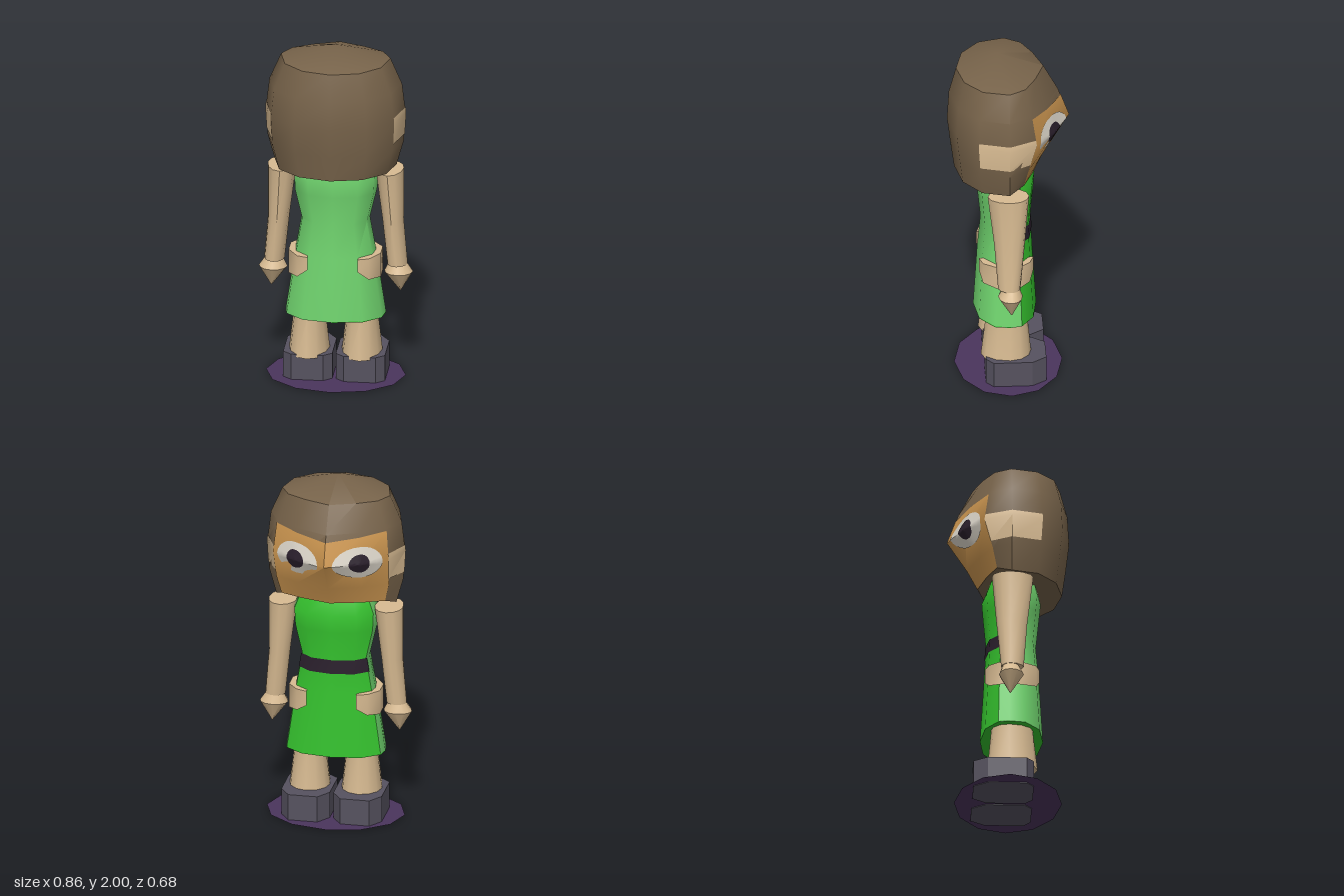
import * as THREE from 'three';
import { toCreasedNormals } from 'three/addons/utils/BufferGeometryUtils.js';

const mat = (name, color, side = THREE.FrontSide) => {
  const m = new THREE.MeshStandardMaterial({ color, side });
  m.name = name;
  return m;
};

// Half cross-sections [x, z] from back centre (+z) round +x to front centre (-z); mirrored for -x.
const HEAD = [[0, 1], [0.52, 0.87], [0.88, 0.53], [1, 0.03], [0.83, -0.42], [0.47, -0.73], [0, -1]];
const BODY = [[0, 1], [0.6, 0.87], [0.95, 0.45], [1, 0], [0.95, -0.4], [0.6, -0.85], [0, -1]];
const SHOE = [[0, 1], [0.65, 1], [1, 0.7], [1, 0], [1, -0.6], [0.6, -1], [0, -1]];
const ROUND = [0, 1, 2, 3, 4, 5, 6].map(i => [Math.sin(i * Math.PI / 6), Math.cos(i * Math.PI / 6)]);
const range = (a, b) => Array.from({ length: b - a + 1 }, (_, i) => a + i);

// Surface through rows [y, halfWidth, backDepth, frontDepth, centreX]; u runs 0..12 round it.
function surface(section, rows, cx = 0, side = 1) {
  const at = i => {
    const k = ((i % 12) + 12) % 12;
    return k <= 6 ? section[k] : [-section[12 - k][0], section[12 - k][1]];
  };
  return (u, y, grow = 1) => {
    const i = Math.floor(u), f = u - i, a = at(i), b = at(i + 1);
    const sx = a[0] + (b[0] - a[0]) * f, sz = a[1] + (b[1] - a[1]) * f;
    let r = 0;
    while (r < rows.length - 2 && y > rows[r + 1][0]) r++;
    const p = rows[r], q = rows[r + 1];
    const t = THREE.MathUtils.clamp((y - p[0]) / (q[0] - p[0]), 0, 1);
    const v = k => (p[k] ?? cx) + ((q[k] ?? cx) - (p[k] ?? cx)) * t;
    return [side * v(4) + sx * v(1) * grow, y, sz * (sz > 0 ? v(2) : v(3)) * grow];
  };
}

// Sheet of quads over columns us; ys(u) lists heights from the bottom up.
function grid(pt, us, ys, caps = [null, null], crease = 0.75) {
  const pos = [], idx = [], n = us.length, m = ys(us[0]).length;
  for (const u of us) for (const y of ys(u)) pos.push(...pt(u, y));
  for (let j = 0; j < n - 1; j++) for (let i = 0; i < m - 1; i++) {
    const a = j * m + i, b = a + m;
    idx.push(a, b, b + 1, a, b + 1, a + 1);
  }
  caps.forEach((c, top) => {
    if (!c) return;
    const k = pos.length / 3;
    pos.push(...c);
    for (let j = 0; j < n - 1; j++) {
      const a = j * m + (top ? m - 1 : 0), b = a + m;
      if (top) idx.push(k, a, b); else idx.push(k, b, a);
    }
  });
  const g = new THREE.BufferGeometry();
  g.setAttribute('position', new THREE.Float32BufferAttribute(pos, 3));
  g.setIndex(idx);
  return toCreasedNormals(g, crease);
}

// Closed solid through rows
function solid(section, rows, cx, side, crease) {
  const ys = rows.map(r => r[0]), last = rows[rows.length - 1];
  const c = r => [side * (r[4] ?? cx), r[0], 0];
  return grid(surface(section, rows, cx, side), range(0, 12), () => ys, [c(rows[0]), c(last)], crease);
}

// Oval plate hugging a surface
function oval(pt, u0, y0, ru, ry, grow) {
  const pos = [], idx = [], N = 24, R = 4;
  for (let r = 0; r <= R; r++) for (let k = 0; k < N; k++) {
    const a = k / N * Math.PI * 2;
    pos.push(...pt(u0 + ru * r / R * Math.cos(a), y0 + ry * r / R * Math.sin(a), grow));
  }
  for (let r = 0; r < R; r++) for (let k = 0; k < N; k++) {
    const a = r * N + k, b = r * N + (k + 1) % N;
    idx.push(a, a + N, b + N);
    if (r) idx.push(a, b + N, b);
  }
  const g = new THREE.BufferGeometry();
  g.setAttribute('position', new THREE.Float32BufferAttribute(pos, 3));
  g.setIndex(idx);
  return toCreasedNormals(g, 0.75);
}

export function createModel() {
  const group = new THREE.Group();
  const hair = mat('hair brown', 0x77634a);
  const skin = mat('skin', 0xd8bb92, THREE.DoubleSide);
  const faceTan = mat('face tan', 0xcc9650);
  const lightGreen = mat('light green', 0x70d46e);
  const green = mat('green', 0x35c22e, THREE.DoubleSide);
  const dark = mat('dark', 0x2a1f2c);
  const white = mat('eye white', 0xdcd6ca);
  const grey = mat('shoe grey', 0x56525f);
  const purple = mat('base purple', 0x4a345c, THREE.DoubleSide);
  const add = (name, geo, m) => {
    const mesh = new THREE.Mesh(geo, m);
    mesh.name = name;
    group.add(mesh);
    return mesh;
  };

  // Head: hair shell with a face, cheeks and eyes laid over it
  const head = surface(HEAD, [
    [1.275, 0.34, 0.30, 0.15], [1.42, 0.38, 0.32, 0.225], [1.59, 0.39, 0.34, 0.335],
    [1.76, 0.37, 0.33, 0.275], [1.91, 0.305, 0.29, 0.195]]);
  const chin = u => (u >= 4 && u <= 8 ? 1.31 : 1.275);
  add('hair', grid(head, range(0, 12), u => [chin(u), 1.42, 1.59, 1.76, 1.91],
    [[0, 1.29, 0.05], [0, 2, 0.06]]), hair);
  const fringe = u => 1.72 + 0.015 * Math.abs(u - 6);
  add('face', grid((u, y) => head(u, y, 1.01), range(4, 8), u => [1.31, 1.42, 1.59, fringe(u)]), faceTan);
  for (const [side, u0] of [['left', 2], ['right', 8]]) {
    add(side + 'Cheek', grid((u, y) => head(u, y, 1.008), range(u0, u0 + 2), () => [1.46, 1.59, 1.62]), skin);
    const e = side === 'left' ? 5 : 7;
    add(side + 'Eye', oval(head, e, 1.59, 0.78, 0.095, 1.022), white);
    add(side + 'Pupil', oval(head, e, 1.59, 0.32, 0.056, 1.034), dark);
  }

  // Dress: light back, strong green front, belt across the front
  const rows = [[0.38, 0.28, 0.195, 0.155], [0.75, 0.225, 0.173, 0.133], [0.95, 0.19, 0.155, 0.122],
    [1.12, 0.23, 0.172, 0.138], [1.22, 0.235, 0.182, 0.145], [1.31, 0.2, 0.16, 0.11]];
  const dress = surface(BODY, rows);
  const ys = () => rows.map(r => r[0]);
  add('dressBack', grid(dress, range(-4, 4), ys, [null, [0, 1.31, 0]]), lightGreen);
  add('dressFront', grid(dress, range(4, 8), ys, [null, [0, 1.31, 0]]), green);
  add('dressHem', grid(dress, range(0, 12), () => [0.38, 0.385], [[0, 0.38, 0], null]), green);
  add('belt', grid((u, y) => dress(u, y, 1.03), range(4, 8), () => [0.87, 0.95]), dark);

  // Pocket outline: x, z, bottom height
  const pocket = [[0.14, 0.17, 0.68], [0.2, 0.15, 0.63], [0.257, 0.06, 0.615],
    [0.257, -0.04, 0.615], [0.2, -0.11, 0.63], [0.14, -0.132, 0.67]];

  for (const [side, s] of [['left', 1], ['right', -1]]) {
    const path = s > 0 ? pocket : [...pocket].reverse();
    add(side + 'Pocket', grid((u, y) => [s * path[u][0], y, path[u][1]], range(0, 5),
      u => [path[u][2], 0.755], [null, [s * 0.15, 0.755, 0.02]]), skin);
    // Arm and pointed hand
    add(side + 'Arm', solid(ROUND, [[0.68, 0.057, 0.075, 0.05, 0.343], [0.95, 0.06, 0.095, 0.075, 0.318],
      [1.25, 0.08, 0.13, 0.1, 0.3]], 0, s, 0.75), skin);
    add(side + 'Hand', solid(ROUND, [[0.515, 0.003, 0.003, 0.003, 0.36], [0.63, 0.08, 0.075, 0.062, 0.35],
      [0.69, 0.045, 0.045, 0.04, 0.345]], 0, s, 0.6), skin);
    // Leg and blocky shoe
    add(side + 'Leg', solid(ROUND, [[0.14, 0.115, 0.16, 0.12], [0.36, 0.09, 0.135, 0.1],
      [0.5, 0.09, 0.13, 0.1]], 0.147, s, 0.75), skin);
    add(side + 'Shoe', solid(SHOE, [[0, 0.137, 0.135, 0.2], [0.155, 0.137, 0.135, 0.2]], 0.147, s, 0.3), grey);
  }

  // Flat oval base
  const base = add('base', new THREE.CircleGeometry(1, 12).rotateX(-Math.PI / 2), purple);
  base.scale.set(0.39, 1, 0.3);
  base.position.y = 0.004;
  return group;
}
